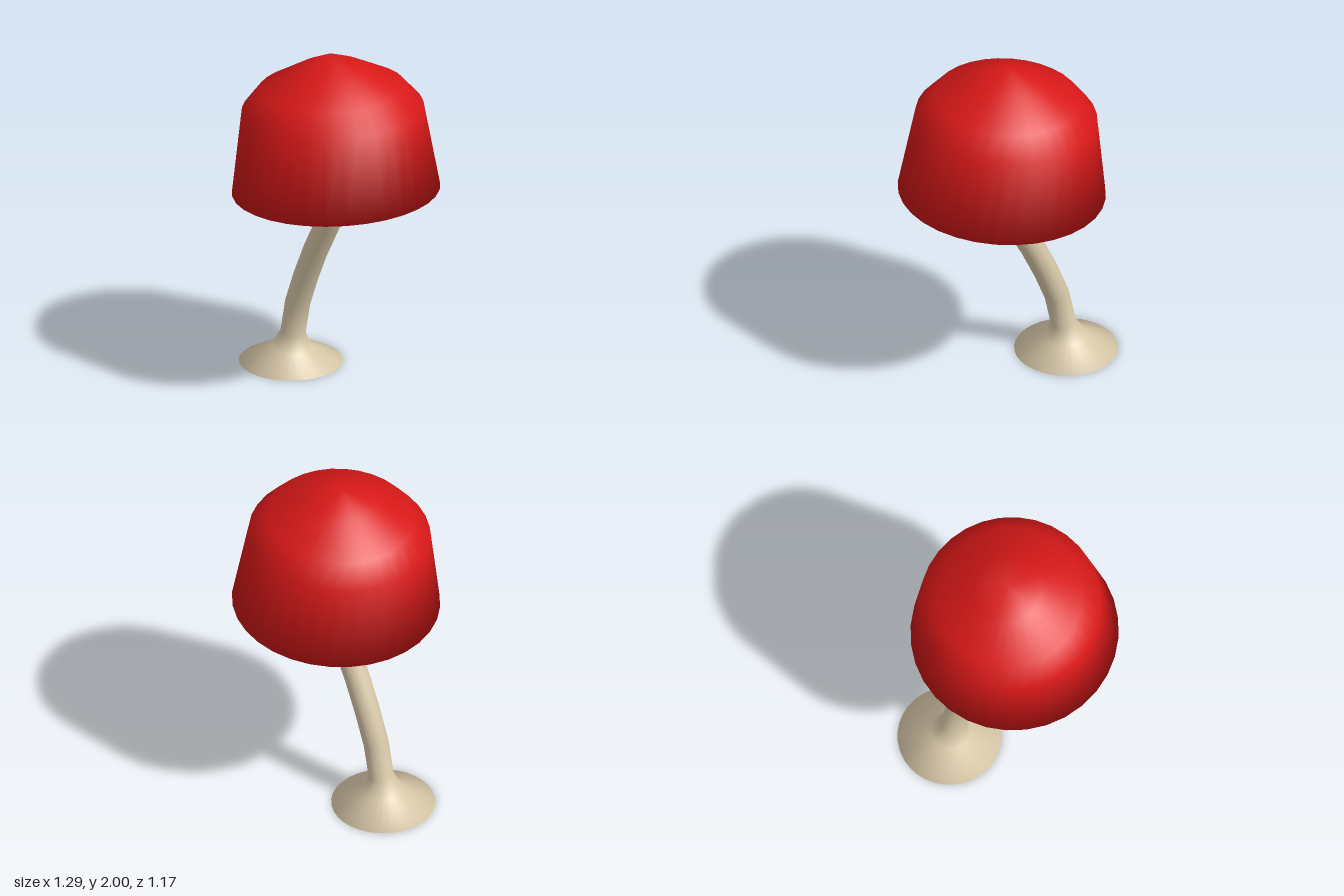
import * as THREE from 'three';

const SIDES = 32;

// Vertex normals as the plain average of the faces around, whatever their size.
function evenNormals(geo) {
  const pos = geo.attributes.position, index = geo.index.array;
  const sums = Array.from({ length: pos.count }, () => new THREE.Vector3());
  const tri = new THREE.Triangle(), n = new THREE.Vector3();
  for (let i = 0; i < index.length; i += 3) {
    const corners = [index[i], index[i + 1], index[i + 2]];
    tri.setFromAttributeAndIndices(pos, ...corners);
    tri.getNormal(n);
    corners.forEach((c) => sums[c].add(n));
  }
  const flat = sums.flatMap((v) => v.normalize().toArray());
  geo.setAttribute('normal', new THREE.Float32BufferAttribute(flat, 3));
}

// Smooth skin over rings {x, y, r, tilt, mat}; mat colours the band from that ring to the next.
function loft(rings, z) {
  const pos = [], index = [], starts = [];
  const geo = new THREE.BufferGeometry();
  for (const { x, y, r, tilt } of rings) {
    starts.push(pos.length / 3);
    const n = r === 0 ? 1 : SIDES;
    for (let i = 0; i < n; i++) {
      const t = (i / SIDES) * Math.PI * 2;
      const u = r * Math.cos(t);
      pos.push(x + u * Math.cos(tilt), y + u * Math.sin(tilt), z + r * Math.sin(t));
    }
  }
  const at = (k, i) => starts[k] + (rings[k].r === 0 ? 0 : i % SIDES);
  for (let k = 0; k < rings.length - 1; k++) {
    const first = index.length;
    for (let i = 0; i < SIDES; i++) {
      const a = at(k, i), b = at(k, i + 1), c = at(k + 1, i), d = at(k + 1, i + 1);
      if (a !== b) index.push(a, c, b);
      if (c !== d) index.push(b, c, d);
    }
    geo.addGroup(first, index.length - first, rings[k].mat || 0);
  }
  geo.setAttribute('position', new THREE.Float32BufferAttribute(pos, 3));
  geo.setIndex(index);
  evenNormals(geo);
  return geo;
}

export function createModel() {
  const red = new THREE.MeshStandardMaterial({ color: 0xd81818 });
  red.name = 'capRed';
  const cream = new THREE.MeshStandardMaterial({ color: 0xd8c8a8 });
  cream.name = 'stemCream';
  const brown = new THREE.MeshStandardMaterial({ color: 0x483524 });
  brown.name = 'gillBrown';

  const group = new THREE.Group();
  group.name = 'mushroom';

  // Cap with a domed hollow, leaning slightly: [radius, height along the axis, colour of the next band]
  const lean = 0.06;
  const profile = [
    [0, 0.42, 2], [0.22, 0.35, 2], [0.4, 0.2, 2], // gills
    [0.5, 0.033, 1], // lip
    [0.584, -0.004, 0], [0.51, 0.49, 0], [0.413, 0.607, 0], [0.19, 0.728, 0], [0, 0.811, 0], // outside
  ];
  const capRings = profile.map(([r, h, mat]) => ({
    x: 0.058 - h * Math.sin(lean), y: 1.19 + h * Math.cos(lean), r, tilt: lean, mat,
  }));
  const cap = new THREE.Mesh(loft(capRings, 0), [red, cream, brown]);
  cap.name = 'cap';
  group.add(cap);

  // Curved stem with a flared foot: [x, y, radius, tilt]
  const stemRings = [
    [-0.352, 0, 0, 0], [-0.352, 0, 0.292, 0],
    [-0.348, 0.09, 0.113, -0.08], [-0.333, 0.182, 0.071, -0.15],
    [-0.292, 0.375, 0.071, -0.29], [-0.22, 0.56, 0.071, -0.41],
    [-0.135, 0.745, 0.071, -0.47], [-0.035, 0.93, 0.071, -0.49],
    [0.05, 1.095, 0.071, -0.36], [0.075, 1.22, 0.071, -0.1],
    [0.06, 1.7, 0.071, 0.06], [0.06, 1.7, 0, 0.06],
  ].map(([x, y, r, tilt]) => ({ x, y, r, tilt }));
  const stem = new THREE.Mesh(loft(stemRings, -0.01), cream);
  stem.name = 'stem';
  group.add(stem);

  return group;
}
